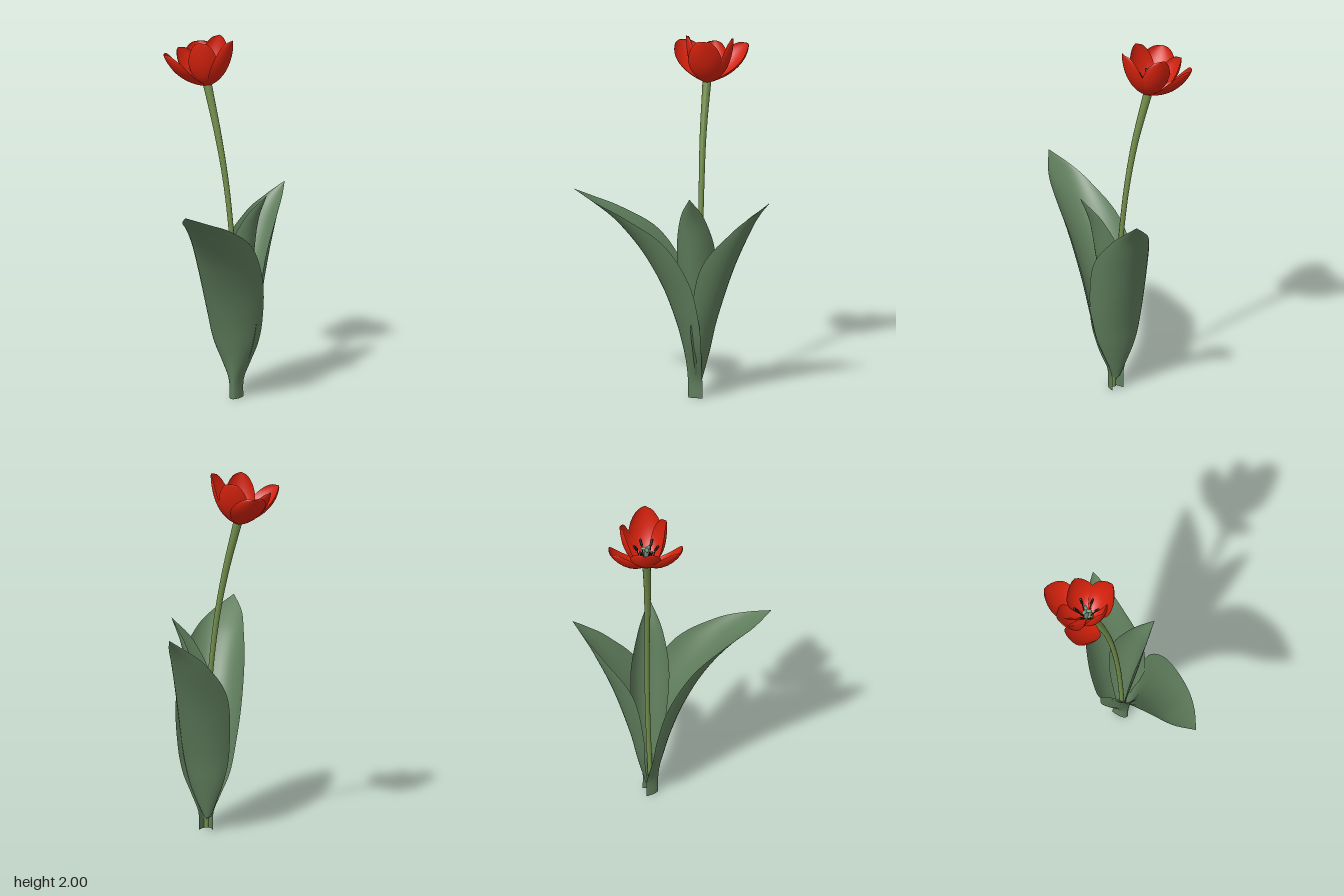
import * as THREE from 'three';

const V = (x, y, z) => new THREE.Vector3(x, y, z);
const mat = (name, color, side = THREE.FrontSide) => {
  const m = new THREE.MeshStandardMaterial({ color, side });
  m.name = name;
  return m;
};

// Cupped blade that follows a midline; its edges curl towards the plant's axis.
// size(t) gives [half width, cup depth], out is the horizontal lean direction.
function blade(curve, size, out, nu, nv, bend) {
  const pos = [], idx = [];
  const side = V(out[1], 0, -out[0]).normalize();
  for (let i = 0; i <= nu; i++) {
    const t = i / nu;
    const p = curve.getPoint(t);
    const inward = curve.getTangent(t).cross(side).normalize();
    const [w, d] = size(t);
    for (let j = 0; j <= nv; j++) {
      const a = bend * (2 * j / nv - 1);
      const q = p.clone()
        .addScaledVector(side, w * Math.sin(a) / Math.sin(bend))
        .addScaledVector(inward, d * (1 - Math.cos(a)) / (1 - Math.cos(bend)));
      pos.push(q.x, q.y, q.z);
      if (i < nu && j < nv) {
        const k = i * (nv + 1) + j, n = k + nv + 1;
        idx.push(k, k + 1, n, k + 1, n + 1, n);
      }
    }
  }
  const g = new THREE.BufferGeometry();
  g.setAttribute('position', new THREE.Float32BufferAttribute(pos, 3));
  g.setIndex(idx);
  g.computeVertexNormals();
  return g;
}

// Tube whose radius follows radius(t)
function variableTube(curve, radius, seg, sides) {
  const g = new THREE.TubeGeometry(curve, seg, 1, sides);
  const p = g.attributes.position, v = V();
  for (let i = 0; i < p.count; i++) {
    const t = Math.floor(i / (sides + 1)) / seg;
    const c = curve.getPointAt(t);
    v.fromBufferAttribute(p, i).sub(c).multiplyScalar(radius(t)).add(c);
    p.setXYZ(i, v.x, v.y, v.z);
  }
  g.computeVertexNormals();
  return g;
}

export function createModel() {
  const root = new THREE.Group();
  root.name = 'tulip';
  const leafGreen = mat('leafGreen', 0x5f7d5c, THREE.DoubleSide);
  const stemGreen = mat('stemGreen', 0x718c4a);
  const petalRed = mat('petalRed', 0xd3210c, THREE.DoubleSide);
  const pistilGreen = mat('pistilGreen', 0x64907a);
  const stamenBlack = mat('stamenBlack', 0x131313);
  const add = (name, geo, material, parent = root) => {
    const m = new THREE.Mesh(geo, material);
    m.name = name;
    parent.add(m);
    return m;
  };

  // Stem, flaring under the flower
  const stemPath = new THREE.CatmullRomCurve3([
    V(0.1, 0.01, -0.13), V(0.1, 0.4, -0.145), V(0.082, 0.8, -0.158),
    V(0.043, 1.17, -0.168), V(-0.008, 1.45, -0.18), V(-0.081, 1.745, -0.206),
  ]);
  add('stem', variableTube(stemPath, t => 0.0135 + 0.011 * t ** 4, 40, 14), stemGreen);

  // Leaves: midline stations as x, y, z, half width, cup depth
  const leaves = {
    frontLeaf: { out: [0, 1], rows: [
      [0.1, 0, -0.092, 0.038, 0.075], [0.1, 0.1, -0.09, 0.042, 0.076], [0.1, 0.2, -0.08, 0.085, 0.08],
      [0.1, 0.3, -0.06, 0.13, 0.095], [0.1, 0.44, -0.022, 0.16, 0.12], [0.095, 0.63, 0.05, 0.181, 0.145],
      [0.087, 0.83, 0.162, 0.174, 0.13], [0.072, 0.995, 0.295, 0.132, 0.058], [0.048, 1.095, 0.415, 0.08, 0.015],
      [0.025, 1.17, 0.53, 0.002, 0]] },
    backLeaf: { out: [0.37, -0.93], rows: [
      [0.1, 0.07, -0.16, 0.022, 0.02], [0.112, 0.16, -0.18, 0.065, 0.035], [0.122, 0.27, -0.205, 0.11, 0.06],
      [0.138, 0.44, -0.242, 0.147, 0.1], [0.165, 0.72, -0.328, 0.158, 0.138], [0.195, 0.94, -0.418, 0.11, 0.07],
      [0.225, 1.05, -0.472, 0.06, 0.022], [0.26, 1.135, -0.53, 0.002, 0]] },
    leftLeaf: { out: [0.97, 0.2], rows: [
      [0.11, 0.06, -0.13, 0.02, 0.02], [0.122, 0.2, -0.135, 0.045, 0.04], [0.16, 0.5, -0.13, 0.09, 0.08],
      [0.203, 0.8, -0.115, 0.106, 0.1], [0.236, 1.01, -0.1, 0.07, 0.05], [0.298, 1.168, -0.085, 0.002, 0]] },
  };
  for (const [name, { out, rows }] of Object.entries(leaves)) {
    const mid = new THREE.CatmullRomCurve3(rows.map(r => V(r[0], r[1], r[2])), false, 'catmullrom');
    const dims = new THREE.CatmullRomCurve3(rows.map(r => V(r[3], r[4], 0)), false, 'catmullrom');
    const size = t => { const s = dims.getPoint(t); return [Math.max(s.x, 0.001), Math.max(s.y, 0)]; };
    add(name, blade(mid, size, out, 54, 16, 1.2), leafGreen);
  }

  // Petals: lean direction, tip reach, tip height, half width, fullness of the belly
  const flower = new THREE.Group();
  flower.name = 'flower';
  flower.position.set(-0.085, 1.727, -0.207);
  root.add(flower);
  const petals = [
    ['outerPetal', [0.98, 0.2], 0.16, 0.273, 0.093, 0.85],
    ['outerPetal', [-0.44, -0.9], 0.258, 0.19, 0.1, 0.74],
    ['outerPetal', [-0.83, 0.56], 0.246, 0.193, 0.1, 0.74],
    ['innerPetal', [-0.95, -0.3], 0.19, 0.19, 0.085, 0.8],
    ['innerPetal', [0.02, 1], 0.115, 0.268, 0.085, 1],
    ['innerPetal', [0.22, -0.97], 0.147, 0.255, 0.085, 0.95],
  ];
  for (const [name, out, reach, height, width, belly] of petals) {
    const o = V(out[0], 0, out[1]).normalize();
    const at = (r, y) => o.clone().multiplyScalar(r).setY(y);
    const mid = new THREE.QuadraticBezierCurve3(at(0.008, 0), at(reach * belly, 0.17 * height), at(reach, height));
    const size = t => {
      const s = Math.max(Math.sin(Math.PI * t ** 1.4), 0) ** 0.42;
      const w = Math.max(width * s, t < 0.1 ? 0.022 : 0.001);
      return [w, w * 0.5];
    };
    add(name, blade(mid, size, out, 44, 12, 1.1), petalRed, flower);
  }

  // Receptacle closing the stem, and pistil with a three-lobed stigma
  add('receptacle', new THREE.SphereGeometry(0.024, 14, 10), stemGreen, flower).position.set(0.003, 0.012, 0);
  const pistil = add('pistil', new THREE.CylinderGeometry(0.011, 0.014, 0.1, 10), pistilGreen, flower);
  pistil.position.set(-0.01, 0.055, -0.004);
  for (let i = 0; i < 3; i++) {
    const a = i * Math.PI * 2 / 3 + 1;
    const lobe = add('stigmaLobe', new THREE.SphereGeometry(0.013, 10, 8), pistilGreen, flower);
    lobe.scale.set(1.4, 0.7, 0.8);
    lobe.rotation.y = -a;
    lobe.position.set(-0.01 + Math.cos(a) * 0.014, 0.107, -0.004 + Math.sin(a) * 0.014);
  }

  // Six stamens: thin filament and a capsule anther
  for (let i = 0; i < 6; i++) {
    const a = i * Math.PI / 3 + 0.8;
    const dir = V(Math.cos(a), 0, Math.sin(a));
    const at = (r, y) => dir.clone().multiplyScalar(r).setY(y).add(V(-0.01, 0, -0.004));
    const path = new THREE.QuadraticBezierCurve3(at(0.012, 0.01), at(0.035, 0.04), at(0.05, 0.095));
    add('filament', new THREE.TubeGeometry(path, 8, 0.003, 6), stamenBlack, flower);
    const anther = add('anther', new THREE.CapsuleGeometry(0.0075, 0.028, 4, 8), stamenBlack, flower);
    anther.position.copy(at(0.058, 0.112));
    anther.quaternion.setFromUnitVectors(V(0, 1, 0), dir.clone().multiplyScalar(0.5).setY(0.87).normalize());
  }
  return root;
}
